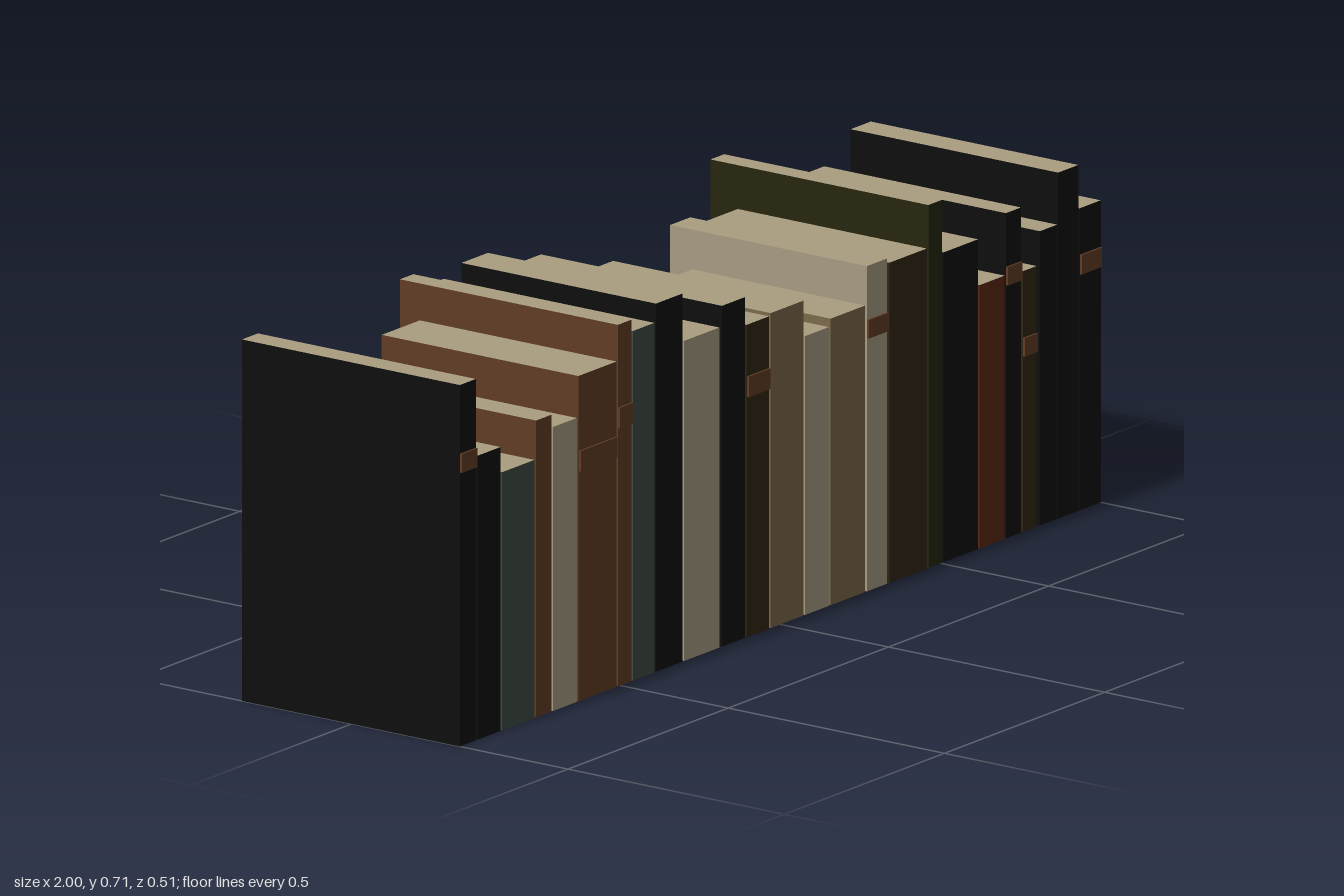
import * as THREE from 'three';

const mat = (name, color) => {
  const m = new THREE.MeshStandardMaterial({ color });
  m.name = name;
  return m;
};

export function createModel() {
  const group = new THREE.Group();
  group.name = 'bookRow';

  const M = {
    black: mat('black cloth', 0x0e0e0e),
    slate: mat('slate green cloth', 0x3f4a42),
    brown: mat('brown leather', 0x613c24),
    cream: mat('cream cloth', 0xa69b82),
    umber: mat('dark umber leather', 0x302410),
    tan: mat('tan leather', 0x7c694a),
    olive: mat('olive cloth', 0x25260f),
    rust: mat('rust cloth', 0x5a2410),
    paper: mat('paper', 0xa99c7f),
  };

  const FRONT = 0.25;

  // Each book: left x, right x, height, back z, cover, [label bottom, label top]
  const books = [
    [-1, -0.95, 0.70, -0.254, 'black', [0.53, 0.567]],
    [-0.945, -0.873, 0.55, -0.145, 'black'],
    [-0.868, -0.767, 0.50, -0.11, 'slate'],
    [-0.762, -0.714, 0.575, -0.163, 'brown'],
    [-0.71, -0.635, 0.55, -0.147, 'cream'],
    [-0.63, -0.511, 0.63, -0.205, 'brown', [0.445, 0.485]],
    [-0.507, -0.465, 0.70, -0.254, 'brown', [0.50, 0.54]],
    [-0.46, -0.393, 0.677, -0.237, 'slate'],
    [-0.388, -0.305, 0.713, -0.20, 'black'],
    [-0.30, -0.19, 0.62, -0.197, 'cream'],
    [-0.182, -0.11, 0.66, -0.222, 'black'],
    [-0.105, -0.035, 0.605, -0.185, 'umber', [0.465, 0.505]],
    [-0.03, 0.072, 0.61, -0.19, 'tan'],
    [0.077, 0.152, 0.54, -0.14, 'cream'],
    [0.157, 0.265, 0.555, -0.15, 'tan'],
    [0.27, 0.333, 0.63, -0.205, 'cream', [0.49, 0.526]],
    [0.34, 0.457, 0.62, -0.187, 'umber'],
    [0.462, 0.505, 0.703, -0.254, 'olive'],
    [0.51, 0.617, 0.60, -0.16, 'black'],
    [0.622, 0.70, 0.51, -0.115, 'rust'],
    [0.704, 0.751, 0.63, -0.205, 'black', [0.49, 0.526]],
    [0.757, 0.80, 0.505, -0.112, 'umber', [0.34, 0.376]],
    [0.81, 0.864, 0.57, -0.157, 'black'],
    [0.867, 0.93, 0.67, -0.23, 'black'],
    [0.934, 1, 0.585, -0.168, 'black', [0.457, 0.495]],
  ];

  books.forEach(([x0, x1, height, back, cover, label], i) => {
    const book = new THREE.Group();
    book.name = `book${i + 1}`;
    const width = x1 - x0, depth = FRONT - back, c = M[cover];

    // Cover block with paper on the top face
    const body = new THREE.Mesh(
      new THREE.BoxGeometry(width, height, depth),
      [c, c, M.paper, c, c, c],
    );
    body.name = 'coverAndPages';
    body.position.set((x0 + x1) / 2, height / 2, (FRONT + back) / 2);
    book.add(body);

    // Thin spine label
    if (label) {
      const plate = new THREE.Mesh(
        new THREE.BoxGeometry(width * 0.96, label[1] - label[0], 0.004),
        M.brown,
      );
      plate.name = 'spineLabel';
      plate.position.set((x0 + x1) / 2, (label[0] + label[1]) / 2, FRONT + 0.002);
      book.add(plate);
    }
    group.add(book);
  });

  return group;
}
